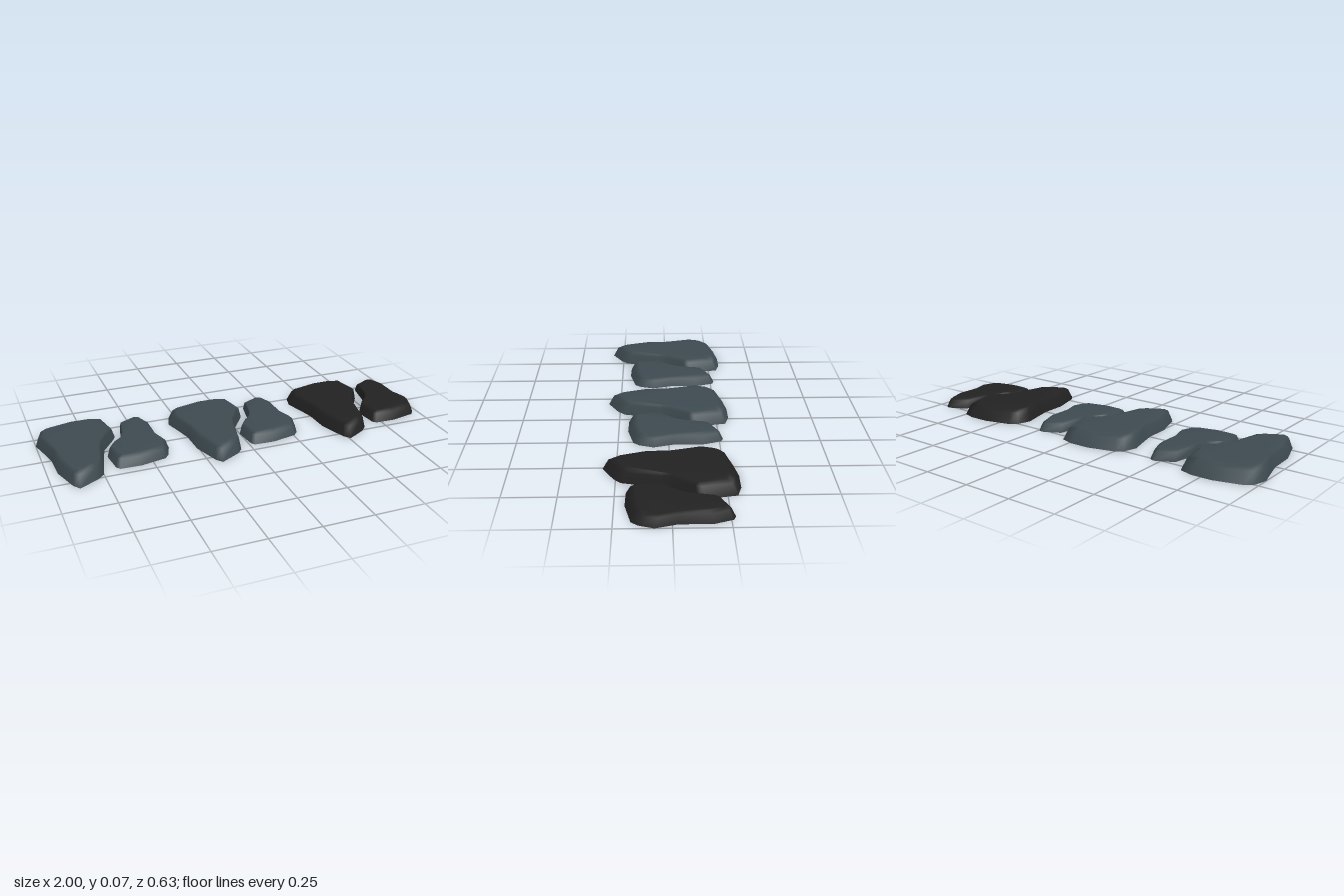
import * as THREE from 'three';

// Outlines on the ground as [x, z], clockwise seen from above
const LARGE = [
  [-1, -0.18], [-0.98, -0.25], [-0.945, -0.28], [-0.805, -0.315], [-0.7, -0.315], [-0.635, -0.295],
  [-0.607, -0.145], [-0.62, -0.115], [-0.69, -0.015], [-0.71, 0.05], [-0.75, 0.225], [-0.785, 0.26],
  [-0.88, 0.313], [-0.905, 0.28], [-0.95, 0.135], [-0.955, 0], [-0.97, -0.065],
];
const SMALL = [
  [-0.56, -0.225], [-0.47, -0.27], [-0.445, -0.26], [-0.415, -0.175], [-0.415, -0.025], [-0.387, 0.075],
  [-0.41, 0.145], [-0.435, 0.175], [-0.56, 0.203], [-0.665, 0.2], [-0.68, 0.18], [-0.693, 0.06],
  [-0.665, 0.02], [-0.62, -0.02], [-0.59, -0.08],
];

// Hollow stone shell: tapered wall, bevelled shoulder and flat top, open underneath
function stoneGeometry(outline, height) {
  const xs = outline.map(p => p[0]), zs = outline.map(p => p[1]);
  const cx = (Math.min(...xs) + Math.max(...xs)) / 2;
  const cz = (Math.min(...zs) + Math.max(...zs)) / 2;
  const rings = [[1, 0], [0.91, height * 0.78], [0.82, height]]; // scale, y
  const n = outline.length, positions = [], index = [];

  for (const [s, y] of rings)
    for (const [x, z] of outline) positions.push(cx + (x - cx) * s, y, cz + (z - cz) * s);

  for (let r = 0; r < rings.length - 1; r++)
    for (let i = 0; i < n; i++) {
      const a = r * n + i, b = r * n + (i + 1) % n;
      index.push(b, a, a + n, b, a + n, b + n);
    }

  // Top face, every triangle turned upward
  const flat = outline.map(([x, z]) => new THREE.Vector2(x, -z));
  const top = (rings.length - 1) * n;
  for (const [a, b, c] of THREE.ShapeUtils.triangulateShape(flat, [])) {
    const up = THREE.ShapeUtils.area([flat[a], flat[b], flat[c]]) > 0;
    index.push(top + a, top + (up ? b : c), top + (up ? c : b));
  }

  const geometry = new THREE.BufferGeometry();
  geometry.setAttribute('position', new THREE.Float32BufferAttribute(positions, 3));
  geometry.setIndex(index);
  geometry.computeVertexNormals();
  return geometry;
}

export function createModel() {
  const model = new THREE.Group();
  model.name = 'steppingStones';

  const slate = new THREE.MeshStandardMaterial({ color: 0x3d4a50, side: THREE.DoubleSide });
  slate.name = 'slate';
  const charcoal = new THREE.MeshStandardMaterial({ color: 0x222222, side: THREE.DoubleSide });
  charcoal.name = 'charcoal';

  const large = stoneGeometry(LARGE, 0.068);
  const small = stoneGeometry(SMALL, 0.053);

  // Three identical pairs in a row
  [['right', 0, slate], ['middle', 0.692, slate], ['left', 1.387, charcoal]].forEach(([side, x, material]) => {
    const pair = new THREE.Group();
    pair.name = side + 'Pair';
    pair.position.x = x;
    for (const [name, geometry] of [['largeStone', large], ['smallStone', small]]) {
      const mesh = new THREE.Mesh(geometry, material);
      mesh.name = name;
      pair.add(mesh);
    }
    model.add(pair);
  });
  return model;
}
